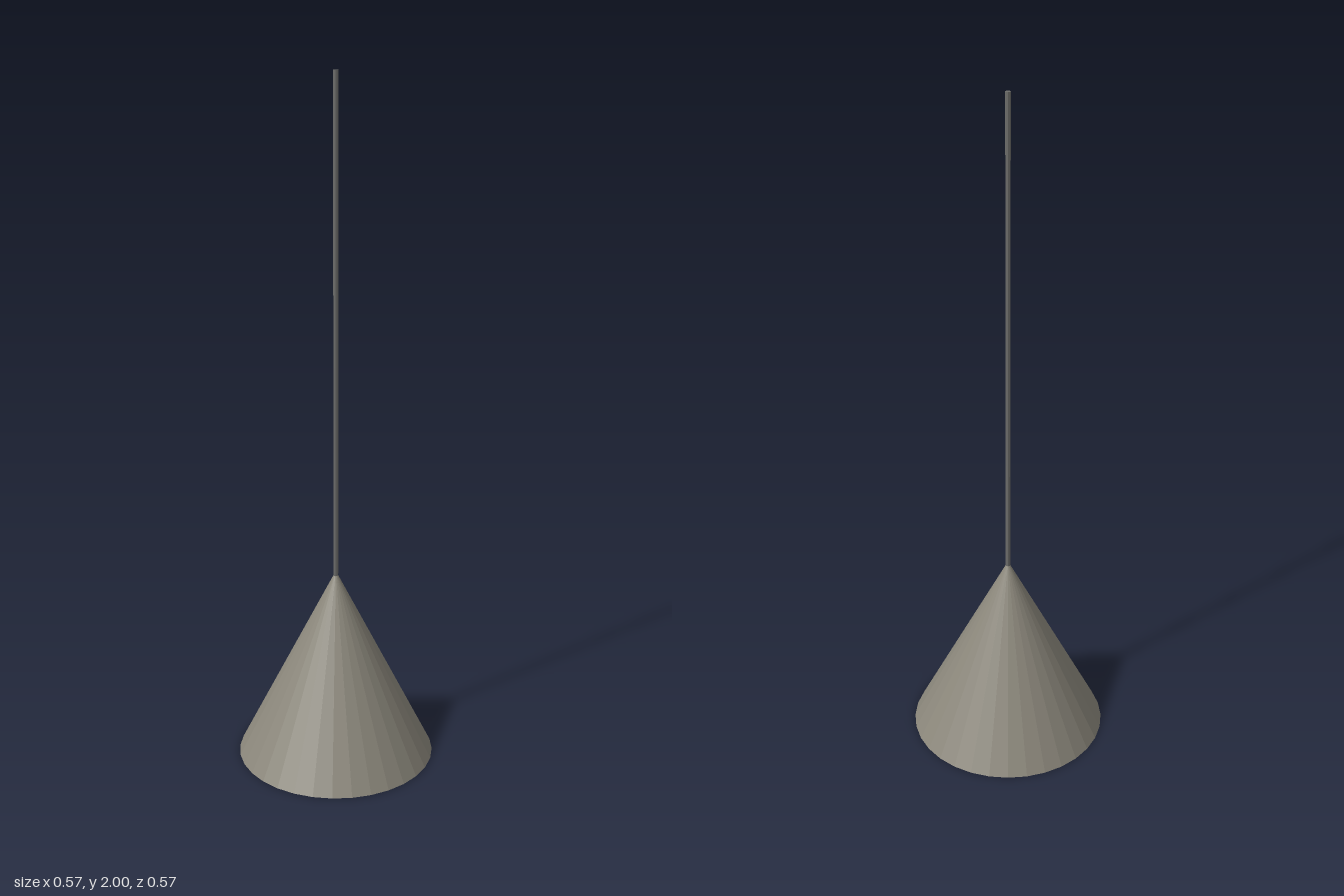
import * as THREE from 'three';

const shadeMetal = new THREE.MeshStandardMaterial({ color: 0x8c887c });
shadeMetal.name = 'warm grey shade';
const cordGrey = new THREE.MeshStandardMaterial({ color: 0x6c6c6a });
cordGrey.name = 'grey cord';

// Non-indexed copy with one normal per face
function faceted(geometry) {
  const flat = geometry.toNonIndexed();
  flat.computeVertexNormals();
  return flat;
}

function addPart(group, name, geometry, material) {
  const mesh = new THREE.Mesh(faceted(geometry), material);
  mesh.name = name;
  group.add(mesh);
  return mesh;
}

export function createModel() {
  const lamp = new THREE.Group();
  lamp.name = 'pendantLamp';

  // Hollow conical shade: inner wall, bottom rim, outer wall
  const profile = [
    [0, 0.505], [0.253, 0], [0.287, 0], [0.006, 0.565], [0, 0.565],
  ].map(([r, y]) => new THREE.Vector2(r, y));
  addPart(lamp, 'shade', new THREE.LatheGeometry(profile, 32), shadeMetal);

  // Thin hanging cord rising from the tip
  const cordBottom = 0.555;
  const cordLength = 2 - cordBottom;
  const cord = addPart(lamp, 'cord', new THREE.CylinderGeometry(0.007, 0.007, cordLength, 8), cordGrey);
  cord.position.y = cordBottom + cordLength / 2;

  return lamp;
}
